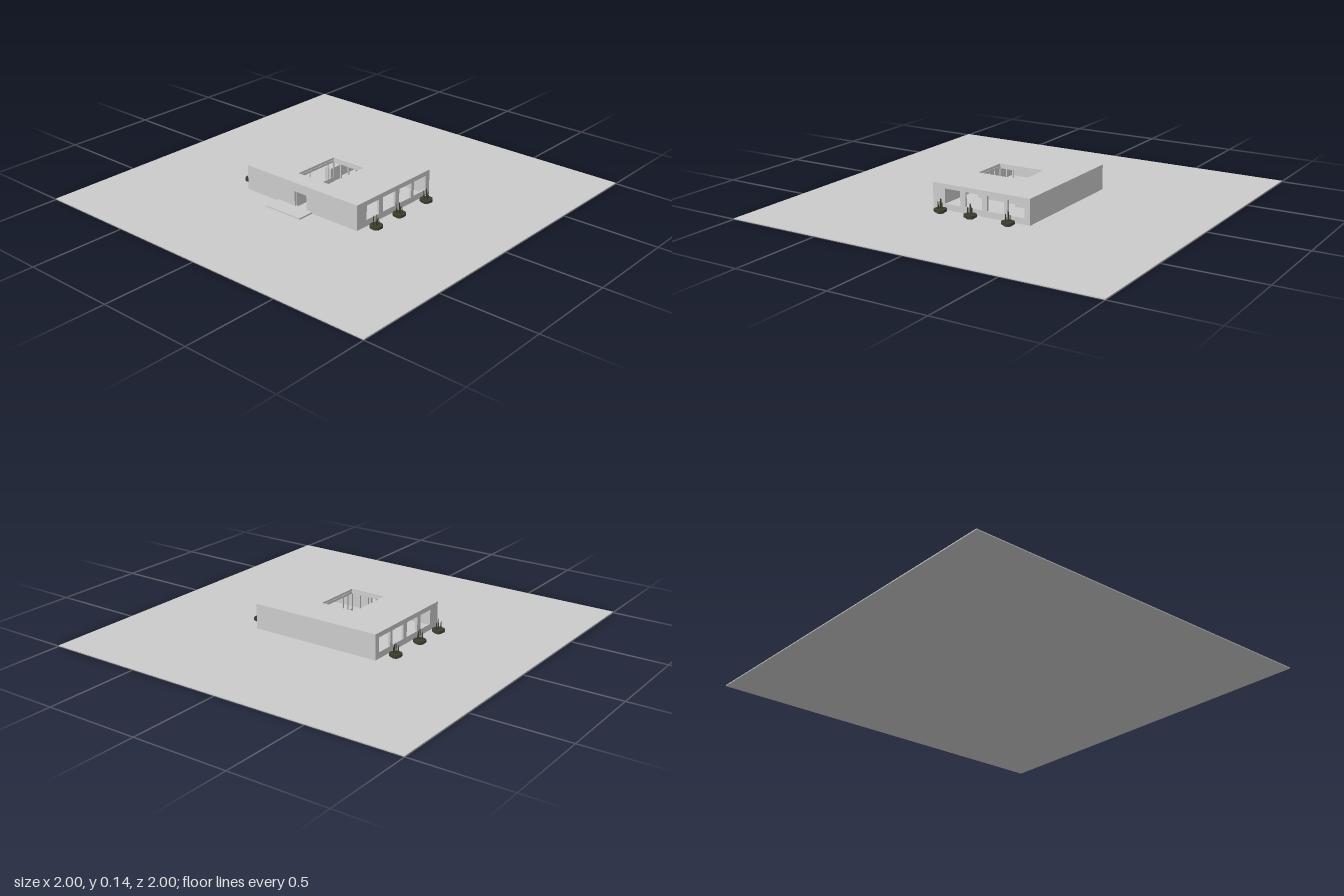
import * as THREE from 'three';

const grey = new THREE.MeshStandardMaterial({ color: 0xcccccc, side: THREE.DoubleSide });
const green = new THREE.MeshStandardMaterial({ color: 0x3c3e2c, side: THREE.DoubleSide });

function add(parent, name, geometry, x = 0, y = 0, z = 0, material = grey) {
  const mesh = new THREE.Mesh(geometry, material);
  mesh.name = name;
  mesh.position.set(x, y, z);
  parent.add(mesh);
  return mesh;
}

// Box given by its lower and upper limits on each axis
function box(parent, name, [x0, x1], [y0, y1], [z0, z1]) {
  return add(parent, name, new THREE.BoxGeometry(x1 - x0, y1 - y0, z1 - z0),
    (x0 + x1) / 2, (y0 + y1) / 2, (z0 + z1) / 2);
}

// Upright slab with rectangular holes, drawn in the xy plane and extruded along z
function panel([u0, u1], [v0, v1], depth, holes) {
  const rect = (path, a, b, c, d) =>
    path.moveTo(a, c).lineTo(b, c).lineTo(b, d).lineTo(a, d).closePath();
  const shape = rect(new THREE.Shape(), u0, u1, v0, v1);
  for (const h of holes) shape.holes.push(rect(new THREE.Path(), ...h));
  return new THREE.ExtrudeGeometry(shape, { depth, bevelEnabled: false });
}

const X = 0.36, BACK = -0.265, FRONT = 0.29, FLOOR = 0.005, TOP = 0.137, CEIL = 0.125, T = 0.012;
const COURT = { x: [-0.1, 0.1], z: [-0.065, 0.195] };
const WINDOWS = [[-0.235, -0.14], [-0.12, -0.025], [0.005, 0.1], [0.13, 0.22]];

// Dish with a few upright stems
function planter(x, z) {
  const g = new THREE.Group();
  g.name = 'planter';
  g.position.set(x, 0, z);
  add(g, 'planterBase', new THREE.CylinderGeometry(0.02, 0.02, 0.012, 24), 0, 0.01, 0, green);
  add(g, 'planterDish', new THREE.CylinderGeometry(0.032, 0.032, 0.012, 32), 0, 0.02, 0, green);
  [[0, 0, 0.055], [0.012, 0.006, 0.04], [-0.013, 0.004, 0.045], [0.004, -0.014, 0.035], [-0.004, 0.014, 0.03]]
    .forEach(([sx, sz, h]) =>
      add(g, 'stem', new THREE.CylinderGeometry(0.0015, 0.003, h, 8), sx, 0.025 + h / 2, sz, green));
  return g;
}

export function createModel() {
  const model = new THREE.Group();
  model.name = 'courtyardHouse';

  box(model, 'ground', [-1, 1], [0, FLOOR], [-1, 1]);
  box(model, 'entranceStep', [-0.15, 0.075], [FLOOR, 0.013], [FRONT, 0.38]);

  // Outer walls
  box(model, 'backWall', [-X, X], [FLOOR, CEIL], [BACK, BACK + T]);
  add(model, 'frontWall', panel([-X, X], [FLOOR, CEIL], T, [[-0.04, 0.037, FLOOR + 0.004, 0.09]]),
    0, 0, FRONT - T);
  for (const side of [-1, 1]) {
    // After turning, the panel's horizontal axis runs along -z
    const holes = WINDOWS.map(([a, b]) => [-b, -a, 0.037, 0.113]);
    const wall = add(model, 'sideWall', panel([-FRONT + T, -BACK - T], [FLOOR, CEIL], T, holes),
      side > 0 ? X - T : -X, 0, 0);
    wall.rotation.y = Math.PI / 2;
  }

  // Roof with the courtyard opening
  const roof = add(model, 'roof', panel([-X, X], [-FRONT, -BACK], TOP - CEIL,
    [[...COURT.x, -COURT.z[1], -COURT.z[0]]]), 0, CEIL, 0);
  roof.rotation.x = -Math.PI / 2;

  // Open door leaf
  box(model, 'doorLeaf', [-0.04, -0.035], [FLOOR, 0.088], [0.21, FRONT - T]);

  // Courtyard screens: posts and rails on all four sides
  const [cx0, cx1] = COURT.x, [cz0, cz1] = COURT.z, P = 0.003;
  for (const z of COURT.z) {
    for (let i = 0; i <= 4; i++) {
      const x = cx0 + (cx1 - cx0) * i / 4;
      box(model, 'courtPost', [x - P, x + P], [FLOOR, CEIL], [z - P, z + P]);
    }
    box(model, 'courtRail', [cx0, cx1], [0.113, CEIL], [z - P, z + P]);
  }
  for (const x of COURT.x) {
    for (const z of [-0.02, 0.115, 0.155]) {
      box(model, 'courtPost', [x - P, x + P], [FLOOR, CEIL], [z - P, z + P]);
    }
    box(model, 'courtRail', [x - P, x + P], [0.113, CEIL], [cz0, cz1]);
    box(model, 'courtSill', [x - P, x + P], [FLOOR, 0.03], [cz0, cz1]);
  }

  // Rooms behind the courtyard
  for (const x of [-0.12, 0.12]) {
    box(model, 'partition', [x - P, x + P], [FLOOR, CEIL], [BACK + T, -0.125]);
    box(model, 'cabinet', [x - 0.02, x + 0.02], [FLOOR, 0.08], [-0.115, -0.045]);
  }

  // Round basin in the courtyard
  const basin = [[0, 0.008], [0.028, 0.008], [0.028, 0.014], [0.033, 0.014], [0.033, FLOOR]]
    .map(([r, y]) => new THREE.Vector2(r, y));
  add(model, 'basin', new THREE.LatheGeometry(basin, 24), 0.022, 0, 0.025);

  // Planters along both sides
  for (const x of [-0.415, 0.412])
    for (const z of [-0.175, 0.038, 0.212]) model.add(planter(x, z));

  return model;
}
